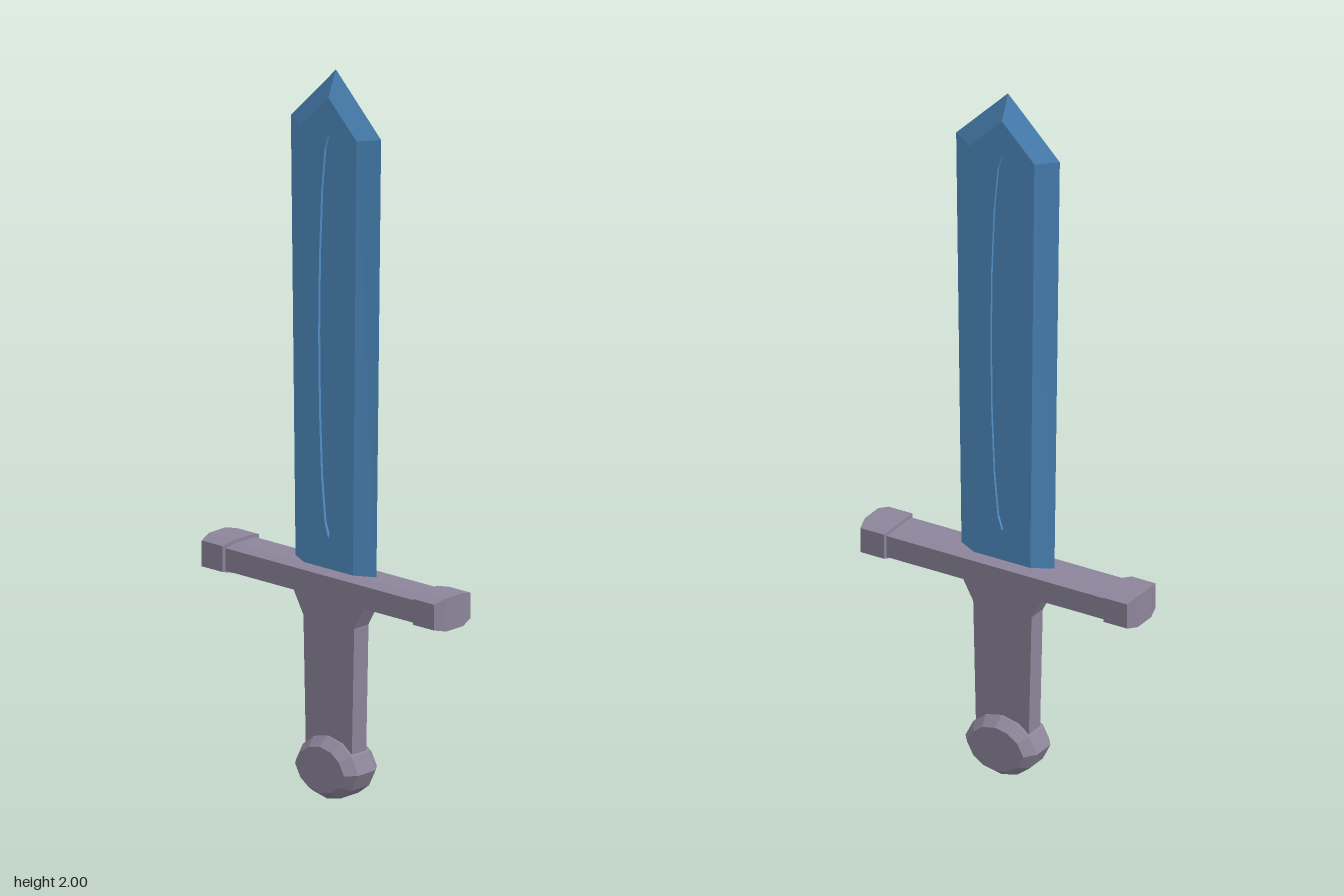
import * as THREE from 'three';

// Flat-shaded skin through counter-clockwise outlines stacked along z: [[z, [[x, y], ...]], ...]
function loft(sections, caps = true) {
  const pos = [];
  const add = (z, p) => pos.push(p[0], p[1], z);
  for (let s = 0; s < sections.length - 1; s++) {
    const [z0, a] = sections[s], [z1, b] = sections[s + 1];
    for (let i = 0; i < a.length; i++) {
      const j = (i + 1) % a.length;
      add(z0, a[i]); add(z0, a[j]); add(z1, b[j]);
      add(z0, a[i]); add(z1, b[j]); add(z1, b[i]);
    }
  }
  if (caps) {
    const [zb, b] = sections[0], [zf, f] = sections[sections.length - 1];
    for (let i = 1; i < f.length - 1; i++) {
      add(zf, f[0]); add(zf, f[i]); add(zf, f[i + 1]);
      add(zb, b[0]); add(zb, b[i + 1]); add(zb, b[i]);
    }
  }
  const geo = new THREE.BufferGeometry();
  geo.setAttribute('position', new THREE.Float32BufferAttribute(pos, 3));
  geo.computeVertexNormals();
  return geo;
}

const rect = (x0, x1, y0, y1) => [[x0, y0], [x1, y0], [x1, y1], [x0, y1]];
const toShape = (pts) => new THREE.Shape(pts.map(([x, y]) => new THREE.Vector2(x, y)));

// Full thickness in the middle, bevelled towards front and back
const bevelled = (wide, zWide, narrow, zNarrow) =>
  loft([[-zNarrow, narrow], [-zWide, wide], [zWide, wide], [zNarrow, narrow]]);

export function createModel() {
  const model = new THREE.Group();
  const steel = new THREE.MeshStandardMaterial({ color: 0x4f8cc2 });
  steel.name = 'blue steel';
  const metal = new THREE.MeshStandardMaterial({ color: 0x8d859a });
  metal.name = 'grey metal';
  const add = (name, geo, mat, parent = model) => {
    const mesh = new THREE.Mesh(geo, mat);
    mesh.name = name;
    parent.add(mesh);
    return mesh;
  };

  // Blade: sharp outline at z = 0, sloping up to a flat on either side
  const edge = [[-0.143, 0.6], [0.143, 0.6], [0.16, 1.84], [0, 2], [-0.16, 1.84]];
  const flat = [[-0.087, 0.6], [0.087, 0.6], [0.1, 1.83], [0, 1.93], [-0.1, 1.83]];
  const T = 0.03, FLOOR = 0.022;
  add('bladeBevels', loft([[-T, flat], [0, edge], [T, flat]], false), steel);

  // Leaf-shaped groove sunk into each flat
  const leaf = [];
  const N = 8;
  for (const side of [1, -1]) {
    for (let i = 0; i < N; i++) {
      const t = (i / N) * Math.PI;
      leaf.push([side * 0.036 * Math.sin(t), 1.272 - side * 0.556 * Math.cos(t)]);
    }
  }
  const clockwise = [...leaf].reverse();
  for (const [name, turn] of [['front', 0], ['back', Math.PI]]) {
    const face = new THREE.Group();
    face.name = name + 'BladeFace';
    face.rotation.y = turn;
    const flatShape = toShape(flat);
    flatShape.holes.push(toShape(clockwise));
    add(name + 'Flat', new THREE.ShapeGeometry(flatShape).translate(0, 0, T), steel, face);
    add(name + 'GrooveFloor', new THREE.ShapeGeometry(toShape(leaf)).translate(0, 0, FLOOR), steel, face);
    add(name + 'GrooveWall', loft([[FLOOR, clockwise], [T, clockwise]], false), steel, face);
    model.add(face);
  }

  // Crossguard bar and its two end blocks
  add('crossguard', bevelled(rect(-0.35, 0.35, 0.555, 0.632), 0.03,
    rect(-0.35, 0.35, 0.562, 0.624), 0.062), metal);
  for (const [name, c] of [['left', 0.375], ['right', -0.375]]) {
    add(name + 'GuardEnd', bevelled(rect(c - 0.046, c + 0.046, 0.55, 0.641), 0.033,
      rect(c - 0.037, c + 0.037, 0.56, 0.631), 0.071), metal);
  }

  // Grip, flaring under the guard
  const grip = toShape([[-0.081, 0.1], [0.081, 0.1], [0.09, 0.485], [0.137, 0.57],
    [-0.137, 0.57], [-0.09, 0.485]]);
  add('grip', new THREE.ExtrudeGeometry(grip, { depth: 0.056, bevelEnabled: false })
    .translate(0, 0, -0.028), metal);

  // Pommel: pointed oval with bevelled faces
  const quarter = [[0.11, 0], [0.086, 0.047], [0.049, 0.075], [0, 0.086]];
  const upper = [...quarter, ...quarter.slice(0, 3).reverse().map(([x, y]) => [-x, y])];
  const oval = [...upper, ...upper.slice(1, -1).reverse().map(([x, y]) => [x, -y])];
  const sized = (sx, sy) => oval.map(([x, y]) => [x * sx, 0.086 + y * sy]);
  add('pommel', bevelled(sized(1, 1), 0.034, sized(0.79, 0.74), 0.064), metal);

  return model;
}
